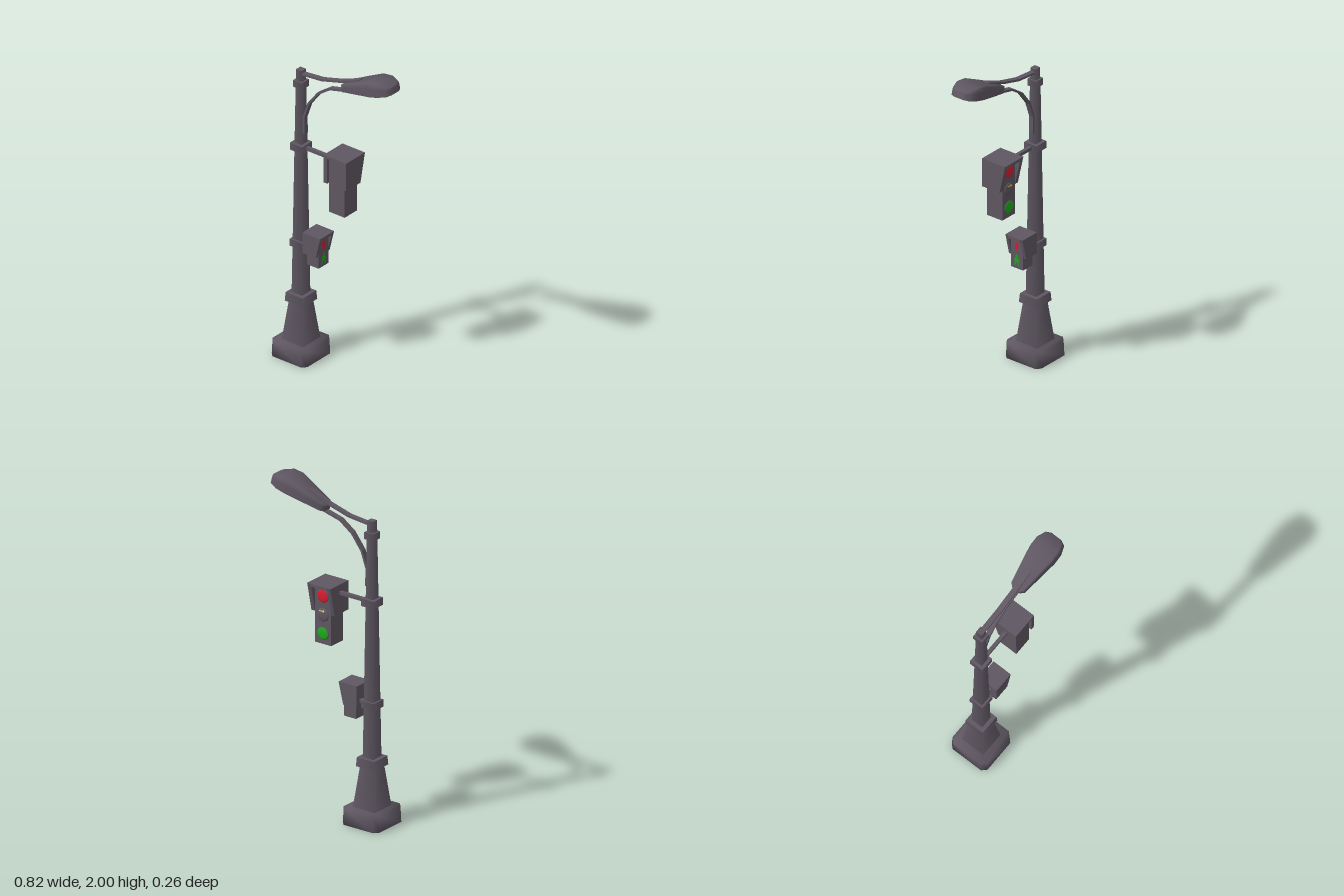
import * as THREE from 'three';
import { toCreasedNormals } from 'three/addons/utils/BufferGeometryUtils.js';

const mat = (name, color) => {
  const m = new THREE.MeshStandardMaterial({ color });
  m.name = name;
  return m;
};

export function createModel() {
  const metal = mat('grey metal', 0x5f5762);
  const red = mat('signal red', 0xd81c30);
  const green = mat('signal green', 0x1ea81a);
  const yellow = mat('signal yellow', 0xd8d040);
  const glass = mat('lamp glass', 0xd6d396);

  const root = new THREE.Group();
  root.name = 'streetLight';
  const PX = -0.28; // pole axis

  const add = (parent, name, geo, material, x = 0, y = 0, z = 0) => {
    const m = new THREE.Mesh(geo, material);
    m.name = name;
    m.position.set(x, y, z);
    parent.add(m);
    return m;
  };
  const box = (parent, name, w, h, d, x, y, z) =>
    add(parent, name, new THREE.BoxGeometry(w, h, d), metal, x, y, z);

  // Square tapered post, softly shaded, from y0 to y1 with half widths a (bottom) and b (top)
  const post = (name, y0, y1, a, b) => {
    const g = new THREE.CylinderGeometry(b * Math.SQRT2, a * Math.SQRT2, y1 - y0, 4);
    g.rotateY(Math.PI / 4);
    add(root, name, g, metal, PX, (y0 + y1) / 2, 0);
  };

  const outline = pts => new THREE.Shape(pts.map(p => new THREE.Vector2(p[0], p[1])));
  // Polygon extruded along z
  const extrude = (pts, depth) => new THREE.ExtrudeGeometry(outline(pts), { depth, bevelEnabled: false });

  // Foot: square block with cut corners, drawn in slightly at the top, softly shaded
  const h = 0.13, c = 0.104;
  const foot = extrude([[-c, -h], [c, -h], [h, -c], [h, c], [c, h], [-c, h], [-h, c], [-h, -c]], 0.1);
  foot.rotateX(-Math.PI / 2);
  const fp = foot.attributes.position;
  for (let i = 0; i < fp.count; i++) {
    const s = fp.getY(i) > 0.05 ? 0.97 : 1;
    fp.setXYZ(i, fp.getX(i) * s, fp.getY(i), fp.getZ(i) * s);
  }
  add(root, 'foot', toCreasedNormals(foot, 3), metal, PX, 0, 0);

  // Pole, collars and clamps
  post('flaredBase', 0.1, 0.36, 0.078, 0.048);
  post('baseCollar', 0.35, 0.405, 0.066, 0.062);
  post('pole', 0.4, 1.8, 0.038, 0.021);
  post('poleTip', 1.78, 1.86, 0.02, 0.02);
  post('lowerClamp', 0.708, 0.753, 0.046, 0.046);
  post('upperClamp', 1.336, 1.382, 0.045, 0.045);
  post('topCollar', 1.747, 1.79, 0.032, 0.032);

  // Flat bent arms following a polyline in the xy plane
  const arm = (name, pts, t, width) => {
    const left = [], right = [];
    pts.forEach(([x, y], i) => {
      const p = pts[Math.max(i - 1, 0)], q = pts[Math.min(i + 1, pts.length - 1)];
      const dx = q[0] - p[0], dy = q[1] - p[1], k = t / 2 / Math.hypot(dx, dy);
      left.push([x - dy * k, y + dx * k]);
      right.unshift([x + dy * k, y - dx * k]);
    });
    add(root, name, extrude([...left, ...right], width), metal, 0, 0, -width / 2);
  };
  arm('upperLampArm', [[-0.265, 1.836], [-0.12, 1.85], [0.02, 1.889], [0.16, 1.944]], 0.013, 0.032);
  arm('lowerLampArm', [[-0.249, 1.45], [-0.25, 1.56], [-0.215, 1.66], [-0.145, 1.752],
    [-0.06, 1.812], [0.09, 1.85]], 0.014, 0.03);

  // Lamp head: cross-sections [x, half width, height] lofted along a sloping underside
  const loft = (stations, profile) => {
    const pos = [], idx = [], n = profile.length;
    stations.forEach(([x, w, ht]) => profile.forEach(([u, v]) =>
      pos.push(x - v * ht * 0.25, 1.845 + 0.28 * (x - 0.045) + v * ht, u * w)));
    for (let i = 0; i < stations.length - 1; i++) {
      for (let j = 0; j < n; j++) {
        const a = i * n + j, b = i * n + (j + 1) % n;
        idx.push(a, b, b + n, a, b + n, a + n);
      }
    }
    const e = (stations.length - 1) * n;
    for (let j = 1; j < n - 1; j++) idx.push(0, j + 1, j, e, e + j, e + j + 1);
    const g = new THREE.BufferGeometry();
    g.setAttribute('position', new THREE.Float32BufferAttribute(pos, 3));
    g.setIndex(idx);
    return toCreasedNormals(g, 1);
  };
  add(root, 'lampHead', loft(
    [[0.04, 0.024, 0.034], [0.06, 0.046, 0.042], [0.18, 0.066, 0.064], [0.285, 0.083, 0.081],
      [0.345, 0.083, 0.073], [0.395, 0.064, 0.05], [0.41, 0.034, 0.04]],
    [[-1, 0], [-1, 0.6], [-0.97, 0.92], [-0.88, 1], [0.88, 1], [0.97, 0.92], [1, 0.6], [1, 0]]), metal);
  add(root, 'lampGlass', loft(
    [[0.1, 0.04, 0.006], [0.285, 0.068, 0.006], [0.34, 0.068, 0.006], [0.38, 0.05, 0.006], [0.393, 0.03, 0.006]],
    [[-1, -0.5], [-1, 0.5], [1, 0.5], [1, -0.5]]), glass);

  // Signal housing facing local +z, with a hood of two slanted cheeks and a roof
  const signal = (name, x, angle, body, hood) => {
    const g = new THREE.Group();
    g.name = name;
    g.position.x = x;
    g.rotation.y = angle;
    root.add(g);
    box(g, 'housing', body.w, body.y1 - body.y0, body.d, 0, (body.y0 + body.y1) / 2, 0);
    const t = (hood.w - body.w) / 2, roof = 0.018;
    for (const side of [-1, 1]) {
      const cheek = extrude([[hood.back, hood.y0], [hood.low, hood.y0], [hood.top, hood.y1], [hood.back, hood.y1]], t);
      cheek.rotateY(-Math.PI / 2);
      add(g, 'hoodCheek', cheek, metal, side * (hood.w - t) / 2 + t / 2);
    }
    box(g, 'hoodRoof', body.w, roof, hood.top - hood.back, 0, hood.y1 - roof / 2, (hood.top + hood.back) / 2);
    return g;
  };

  // Traffic signal, facing the back
  box(root, 'trafficArm', 0.2, 0.02, 0.022, -0.15, 1.358, 0);
  const traffic = signal('trafficSignal', 0.0275, Math.PI,
    { w: 0.115, y0: 1.04, y1: 1.395, d: 0.112 },
    { w: 0.165, y0: 1.23, y1: 1.41, back: -0.073, low: 0.056, top: 0.097 });
  // Each lens is a shallow dome with a grey rim
  const dome = (name, m, y, from, to) => {
    const g = new THREE.SphereGeometry(0.041, 20, 5, 0, Math.PI * 2, from, to - from);
    g.rotateX(Math.PI / 2);
    g.scale(1, 1, 0.24);
    add(traffic, name, g, m, 0, y, 0.056);
  };
  [['redLens', red, 1.335], ['middleLens', metal, 1.22], ['greenLens', green, 1.105]].forEach(([name, m, y]) => {
    dome(name, m, y, 0, 1.15);
    dome('lensRim', metal, y, 1.15, Math.PI / 2);
  });
  // Yellow arrow on the upper slope of the middle lens
  const arrow = new THREE.ShapeGeometry(outline(
    [[-0.02, -0.003], [0.006, -0.003], [0.006, -0.008], [0.021, 0], [0.006, 0.008], [0.006, 0.003], [-0.02, 0.003]]));
  add(traffic, 'yellowArrow', arrow, yellow, 0, 1.245, 0.066).rotation.x = -0.3;

  // Pedestrian signal, facing the model's left
  box(root, 'pedestrianArm', 0.07, 0.022, 0.022, -0.22, 0.731, 0);
  const walk = signal('pedestrianSignal', -0.1575, Math.PI / 2,
    { w: 0.09, y0: 0.63, y1: 0.83, d: 0.085 },
    { w: 0.126, y0: 0.705, y1: 0.84, back: -0.06, low: 0.036, top: 0.069 });

  // Flat figures: a round head over a mirrored body outline
  const figure = (name, m, y, half) => {
    const head = new THREE.Shape().absarc(0, 0.027, 0.0085, 0, Math.PI * 2);
    const mirrored = half.map(([px, py]) => [-px, py]).reverse();
    const body = outline([[0, -0.012], ...half, ...mirrored]);
    add(walk, name, new THREE.ShapeGeometry([head, body], 6), m, 0, y, 0.0445);
  };
  figure('standFigure', red, 0.776,
    [[0.002, -0.036], [0.01, -0.036], [0.01, -0.008], [0.014, -0.008], [0.014, 0.017]]);
  figure('walkFigure', green, 0.684,
    [[0.011, -0.036], [0.02, -0.036], [0.01, -0.008], [0.018, -0.01], [0.021, -0.004], [0.01, 0.017]]);

  return root;
}
